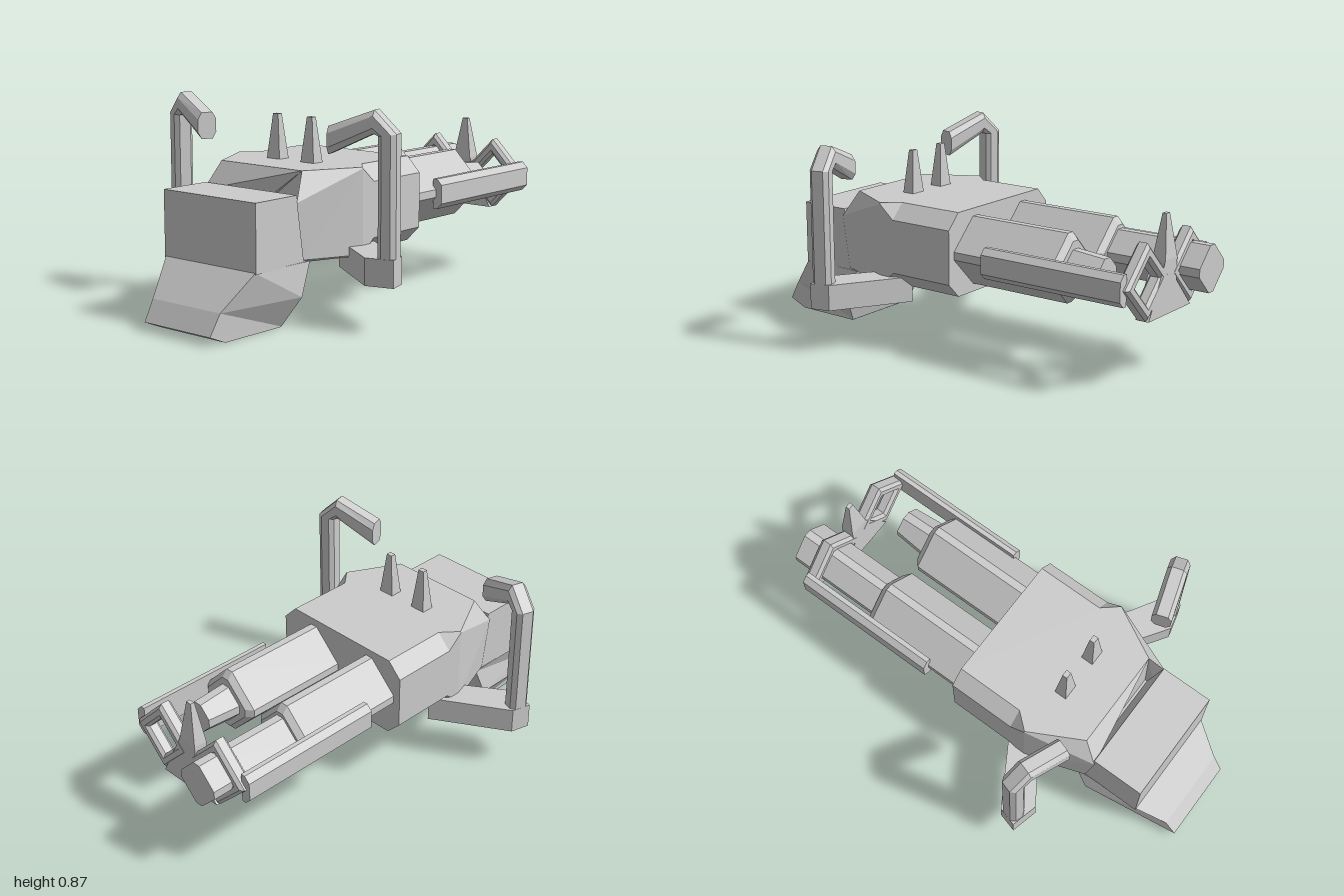
import * as THREE from 'three';

const grey = new THREE.MeshStandardMaterial({ color: 0xcccccc });
grey.name = 'light grey';

// Skin a list of equal-length rings of [x, y, z] points, capped at both ends and flat shaded
function loft(rings) {
  const out = [];
  const tri = (a, b, c) => out.push([a, b, c]);
  const n = rings[0].length;
  for (let r = 0; r < rings.length - 1; r++) {
    for (let i = 0; i < n; i++) {
      const j = (i + 1) % n, p = rings[r], q = rings[r + 1];
      tri(p[i], p[j], q[j]);
      tri(p[i], q[j], q[i]);
    }
  }
  const last = rings[rings.length - 1];
  for (let i = 1; i < n - 1; i++) {
    tri(rings[0][0], rings[0][i + 1], rings[0][i]);
    tri(last[0], last[i], last[i + 1]);
  }
  // Turn every face outward, whichever way the rings run
  let volume = 0;
  for (const [a, b, c] of out) {
    volume += a[0] * (b[1] * c[2] - b[2] * c[1]) + a[1] * (b[2] * c[0] - b[0] * c[2]) + a[2] * (b[0] * c[1] - b[1] * c[0]);
  }
  const flat = out.flatMap(([a, b, c]) => (volume < 0 ? [a, c, b] : [a, b, c])).flat();
  const g = new THREE.BufferGeometry();
  g.setAttribute('position', new THREE.Float32BufferAttribute(flat, 3));
  g.computeVertexNormals();
  return g;
}

// Complete a half ring by mirroring it across z = 0
const symmetric = (half) => [...half, ...half.map(([x, y, z]) => [x, y, -z]).reverse()];

// Square section standing on its corner, with slightly cut corners
const BARREL_Y = 0.437, BARREL_Z = 0.165;
function diamond(x, r, z, cut = 0.015) {
  const c = Math.min(cut, r / 3), k = r - c;
  return [[c, k], [k, c], [k, -c], [c, -k], [-c, -k], [-k, -c], [-k, c], [-c, k]]
    .map(([dz, dy]) => [x, BARREL_Y + dy * (r / k), z + dz * (r / k)]);
}

// Upright rectangle section at height y
const rect = (x0, x1, y, z, hz) => [[x0, y, z - hz], [x1, y, z - hz], [x1, y, z + hz], [x0, y, z + hz]];

// Frustum spike
function spike(x, z, y0, y1, bottom, top) {
  return loft([
    rect(x - bottom[0], x + bottom[0], y0, z, bottom[1]),
    rect(x - top[0], x + top[0], y1, z, top[1]),
  ]);
}

export function createModel() {
  const model = new THREE.Group();
  model.name = 'twinBarrelGun';
  const add = (name, geometry) => {
    const mesh = new THREE.Mesh(geometry, grey);
    mesh.name = name;
    model.add(mesh);
    return mesh;
  };

  // Main housing with cut corners towards the muzzle
  const section = (x) => [[x, 0.615, 0.28], [x, 0.55, 0.343], [x, 0.32, 0.343], [x, 0.257, 0.28]];
  add('body', loft([
    symmetric(section(0.07)),
    symmetric(section(-0.23)),
    symmetric([[-0.3, 0.615, 0.34], [-0.3, 0.61, 0.343], [-0.3, 0.262, 0.343], [-0.3, 0.257, 0.34]]),
    symmetric([[-0.525, 0.615, 0.22], [-0.595, 0.5, 0.255], [-0.56, 0.27, 0.255], [-0.52, 0.257, 0.25]]),
  ]));

  // Rear block
  add('rearBlock', loft([
    symmetric([[-0.82, 0.53, 0.25], [-0.82, 0.255, 0.25]]),
    symmetric([[-0.59, 0.53, 0.25], [-0.53, 0.255, 0.25]]),
  ]));

  // Grip sweeping down and back
  add('grip', loft([
    symmetric([[-0.82, 0.26, 0.245], [-0.52, 0.26, 0.255]]),
    symmetric([[-0.95, 0.12, 0.185], [-0.575, 0.125, 0.262]]),
    symmetric([[-1, 0.035, 0.18], [-0.612, 0.002, 0.185]]),
    symmetric([[-0.92, 0, 0.18], [-0.615, 0, 0.185]]),
  ]));

  // Barrel sleeves, long barrel and short barrel
  for (const s of [-1, 1]) {
    const z = s * BARREL_Z;
    add('barrelSleeve', loft([diamond(0.05, 0.145, z), diamond(0.545, 0.145, z), diamond(0.57, 0.115, z)]));
  }
  add('longBarrel', loft([diamond(0.55, 0.098, -BARREL_Z), diamond(1, 0.098, -BARREL_Z)]));
  add('shortBarrel', loft([diamond(0.55, 0.083, BARREL_Z), diamond(0.72, 0.068, BARREL_Z)]));

  // Diamond frames around the muzzles
  const square = (Base, r) => {
    const p = new Base();
    p.moveTo(r, 0).lineTo(0, r).lineTo(-r, 0).lineTo(0, -r).closePath();
    return p;
  };
  for (const s of [-1, 1]) {
    const shape = square(THREE.Shape, 0.158);
    shape.holes.push(square(THREE.Path, 0.09));
    const g = new THREE.ExtrudeGeometry(shape, {
      depth: 0.036, bevelEnabled: true, bevelSegments: 1,
      bevelThickness: 0.013, bevelSize: 0.013, bevelOffset: -0.013,
    });
    g.rotateY(Math.PI / 2);
    add('muzzleFrame', g).position.set(0.862, BARREL_Y, s * BARREL_Z);
  }

  // Wedge between the frames carrying the front sight
  add('sightWedge', loft([0.85, 0.91].map((x) =>
    symmetric([[x, 0.5, 0.045], [x, 0.4, 0.045], [x, 0.277, 0.16]]))));
  add('frontSight', spike(0.88, 0, 0.5, 0.68, [0.03, 0.045], [0.009, 0.013]));

  for (const s of [-1, 1]) {
    // Rail along the outside of each barrel
    add('sideRail', loft([0.23, 0.89].map((x) =>
      [[0.5, 0.295], [0.5, 0.315], [0.475, 0.34], [0.395, 0.34], [0.37, 0.315], [0.37, 0.295]]
        .map(([y, z]) => [x, y, s * z]))));

    // Spike on top of the housing
    add('topSpike', spike(-0.325, s * 0.093, 0.61, 0.8, [0.028, 0.036], [0.011, 0.014]));

    // Arm reaching out from under the housing
    const outline = [[-0.18, 0.28], [-0.28, 0.2], [-0.48, 0.5], [-0.45, 0.618], [-0.368, 0.595]];
    add('sideArm', loft([0.19, 0.3].map((y) => outline.map(([x, z]) => [x, y, s * z]))));

    // Post with an inward hook: pairs of outer and inner edge points in its own tilted plane
    const edges = [
      [[0, 0.28], [0.075, 0.28]],
      [[0, 0.78], [0.075, 0.77]],
      [[0.09, 0.87], [0.095, 0.778]],
      [[0.28, 0.8], [0.28, 0.69]],
    ];
    const profile = [[0, -0.6], [0, 0.6], [0.25, 1], [0.75, 1], [1, 0.6], [1, -0.6], [0.75, -1], [0.25, -1]];
    add('hookPost', loft(edges.map(([o, i]) => profile.map(([t, w]) => {
      const u = o[0] + (i[0] - o[0]) * t;
      const y = o[1] + (i[1] - o[1]) * t;
      const side = w * 0.042;
      return [-0.405 - 0.3 * u + 0.954 * side, y, s * (0.605 - 0.954 * u - 0.3 * side)];
    }))));
  }

  return model;
}
